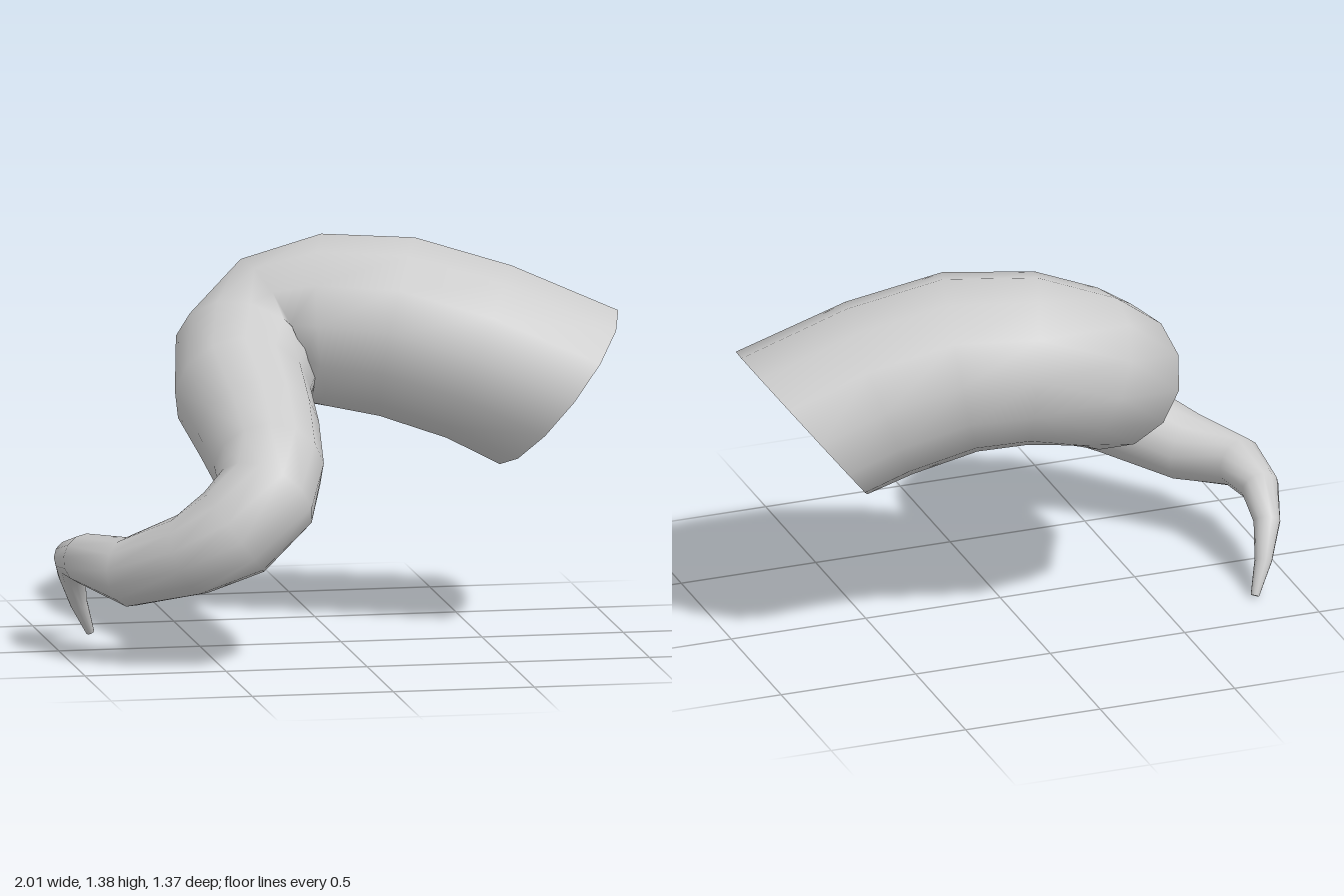
import * as THREE from 'three';

const SIDES = 13;

// Centre line from the thick open end to the tip: x, y, z, radius
const RINGS = [
  [0.793, 0.858, -0.15, 0.341],
  [0.53, 0.978, -0.213, 0.325],
  [0.255, 1.063, -0.28, 0.321],
  [0.02, 1.078, -0.368, 0.305],
  [-0.16, 1.033, -0.408, 0.282],
  [-0.275, 0.95, -0.325, 0.262],
  [-0.325, 0.86, -0.13, 0.239],
  [-0.312, 0.768, 0.1, 0.217],
  [-0.315, 0.678, 0.32, 0.193],
  [-0.355, 0.603, 0.468, 0.182],
  [-0.472, 0.495, 0.505, 0.175],
  [-0.615, 0.41, 0.45, 0.147],
  [-0.805, 0.327, 0.293, 0.122],
  [-0.92, 0.34, 0.08, 0.089],
  [-0.935, 0.314, -0.085, 0.067],
  [-0.918, 0.235, -0.2, 0.047],
  [-0.88, 0.12, -0.265, 0.031],
  [-0.832, 0.01, -0.31, 0.015],
];

// Skinned loops of a tapering tube, carried along the centre line without twist
function taperedTube(rings, sides, startTangent) {
  const centres = rings.map(([x, y, z]) => new THREE.Vector3(x, y, z));
  const positions = [];
  const index = [];
  const u = new THREE.Vector3(0, 0, 1);
  const last = rings.length - 1;

  centres.forEach((centre, i) => {
    const tangent = i === 0
      ? startTangent.clone()
      : centres[Math.min(i + 1, last)].clone().sub(centres[i - 1]);
    tangent.normalize();
    u.addScaledVector(tangent, -u.dot(tangent)).normalize();
    const v = tangent.clone().cross(u);
    for (let k = 0; k < sides; k++) {
      const angle = (k / sides) * Math.PI * 2;
      const p = centre.clone()
        .addScaledVector(u, Math.cos(angle) * rings[i][3])
        .addScaledVector(v, Math.sin(angle) * rings[i][3]);
      positions.push(p.x, p.y, p.z);
      if (i < last) {
        const a = i * sides + k;
        const b = i * sides + (k + 1) % sides;
        index.push(a, b, a + sides, b, b + sides, a + sides);
      }
    }
  });

  // Small cap on the tip
  const tip = positions.length / 3;
  positions.push(...centres[last].toArray());
  for (let k = 0; k < sides; k++) {
    index.push(last * sides + k, last * sides + (k + 1) % sides, tip);
  }

  const geometry = new THREE.BufferGeometry();
  geometry.setAttribute('position', new THREE.Float32BufferAttribute(positions, 3));
  geometry.setIndex(index);
  geometry.computeVertexNormals();
  return geometry;
}

export function createModel() {
  const group = new THREE.Group();
  group.name = 'tentacle';
  const material = new THREE.MeshStandardMaterial({ color: 0xcccccc, side: THREE.DoubleSide });

  // The open rim is cut at a slant to the arm
  const arm = new THREE.Mesh(
    taperedTube(RINGS, SIDES, new THREE.Vector3(-0.785, 0.62, 0)),
    material,
  );
  arm.name = 'tentacleArm';
  group.add(arm);
  return group;
}
